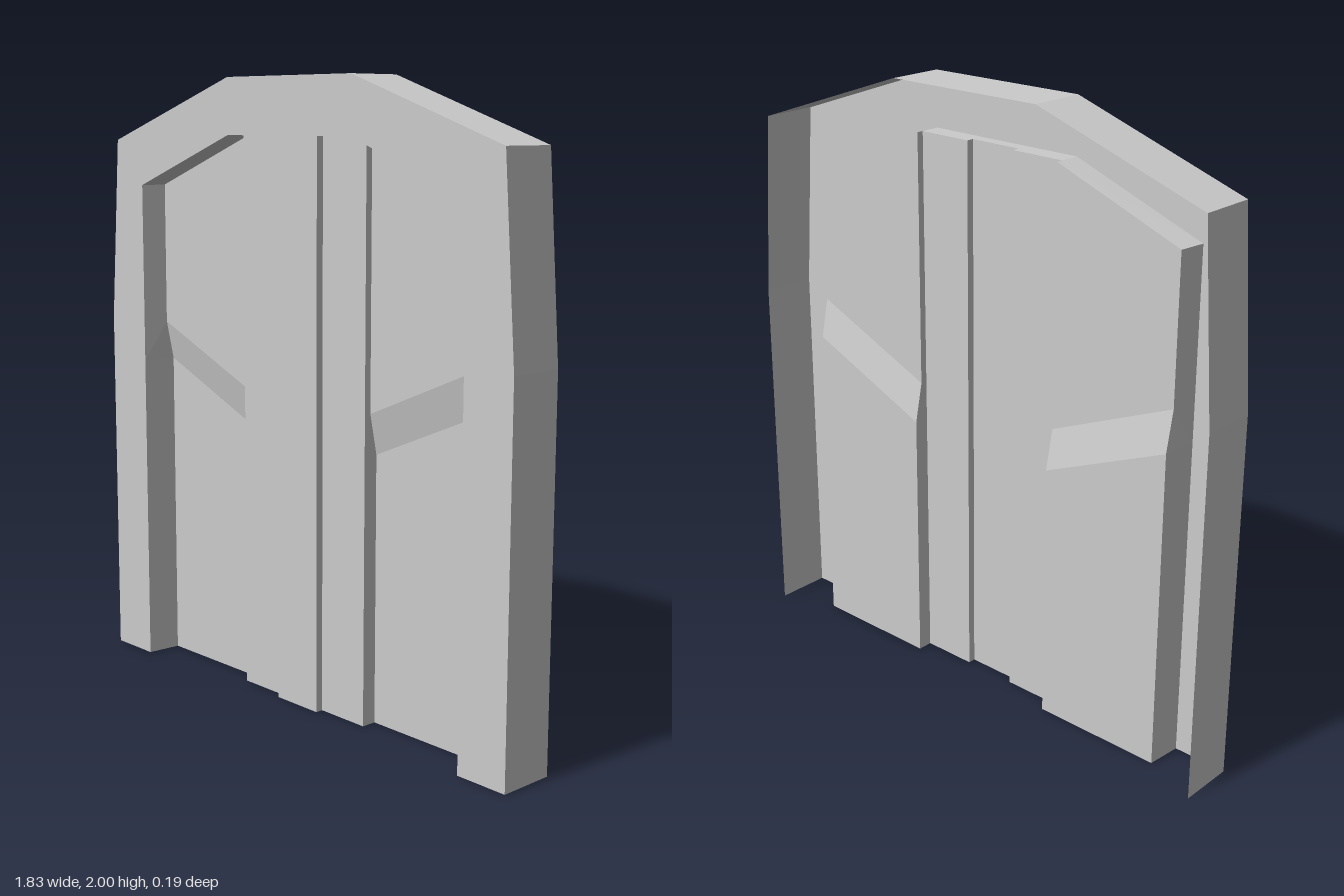
import * as THREE from 'three';

const material = new THREE.MeshStandardMaterial({ color: 0xcccccc, flatShading: true, side: THREE.DoubleSide });

// Depths, front to back
const FRONT = 0.093, BACK = -0.093;
const CENTRE = 0.053, STRIP = 0.028, UPPER = 0.005, LOWER = -0.022;

// Surface of quads between two point lists of equal length
function ribbon(a, b) {
  const pos = [];
  for (let i = 0; i < a.length - 1; i++) {
    pos.push(...a[i], ...b[i], ...b[i + 1], ...a[i], ...b[i + 1], ...a[i + 1]);
  }
  const geo = new THREE.BufferGeometry();
  geo.setAttribute('position', new THREE.Float32BufferAttribute(pos, 3));
  geo.computeVertexNormals();
  return geo;
}

export function createModel() {
  const model = new THREE.Group();
  const add = (parent, name, geo) => {
    const mesh = new THREE.Mesh(geo, material);
    mesh.name = name;
    parent.add(mesh);
  };
  const atDepth = (pts, z) => pts.map(([x, y]) => [x, y, z]);
  const mirrored = (half) => [...half, ...half.map(([x, y]) => [-x, y]).reverse()];

  // Arched frame: front face with a doorway open at the bottom
  const outer = mirrored([[0.915, 0], [0.915, 1.19], [0.87, 1.8], [0.28, 2]]);
  const opening = mirrored([[0.735, 0], [0.735, 1.65], [0.28, 1.82]]);
  const outline = [...outer, ...opening.reverse()].map(([x, y]) => new THREE.Vector2(x, y));
  const face = new THREE.ShapeGeometry(new THREE.Shape(outline));
  face.translate(0, 0, FRONT);
  add(model, 'frameFace', face);

  // Outer walls and roof, hollow behind
  add(model, 'frameWalls', ribbon(atDepth(outer, FRONT), atDepth(outer, BACK)));

  // Raised centre strip
  add(model, 'centreStrip', ribbon(
    [[-0.092, 0, CENTRE], [-0.092, 1.82, CENTRE]], [[0.092, 0, CENTRE], [0.092, 1.82, CENTRE]]));
  add(model, 'centreTopReveal', ribbon(
    [[-0.092, 1.82, FRONT], [0.092, 1.82, FRONT]], [[-0.092, 1.82, CENTRE], [0.092, 1.82, CENTRE]]));

  // Matching left and right leaves
  for (const s of [1, -1]) {
    const leaf = new THREE.Group();
    leaf.name = s > 0 ? 'leftLeaf' : 'rightLeaf';
    model.add(leaf);
    const part = (name, a, b) => {
      const flip = (pts) => pts.map(([x, y, z]) => [x * s, y, z]);
      add(leaf, name, s > 0 ? ribbon(a, b) : ribbon(flip(b), flip(a)));
    };
    const column = (x, z) => [[x, 0, z], [x, 1.82, z]];

    // Narrow strip beside the centre, with its step and top reveal
    part('centreStep', column(0.092, CENTRE), column(0.092, STRIP));
    part('strip', column(0.092, STRIP), column(0.28, STRIP));
    part('stripTopReveal',
      [[0.092, 1.82, FRONT], [0.28, 1.82, FRONT]], [[0.092, 1.82, STRIP], [0.28, 1.82, STRIP]]);

    // Wide panel: deeper lower part, slanted band, shallower upper part
    const inner = [[0.28, 0, LOWER], [0.28, 0.86, LOWER], [0.28, 0.99, UPPER], [0.28, 1.82, UPPER]];
    const edge = [[0.725, 0, LOWER], [0.725, 1.05, LOWER], [0.725, 1.18, UPPER], [0.725, 1.65, UPPER]];
    part('panel', inner, edge);
    part('panelStep', inner.map(([x, y]) => [x, y, STRIP]), inner);
    part('sideReveal', edge, edge.map(([, y]) => [0.735, y, FRONT]));
    part('panelTopReveal',
      [[0.28, 1.82, FRONT], [0.735, 1.65, FRONT]], [[0.28, 1.82, UPPER], [0.725, 1.65, UPPER]]);
  }
  return model;
}
